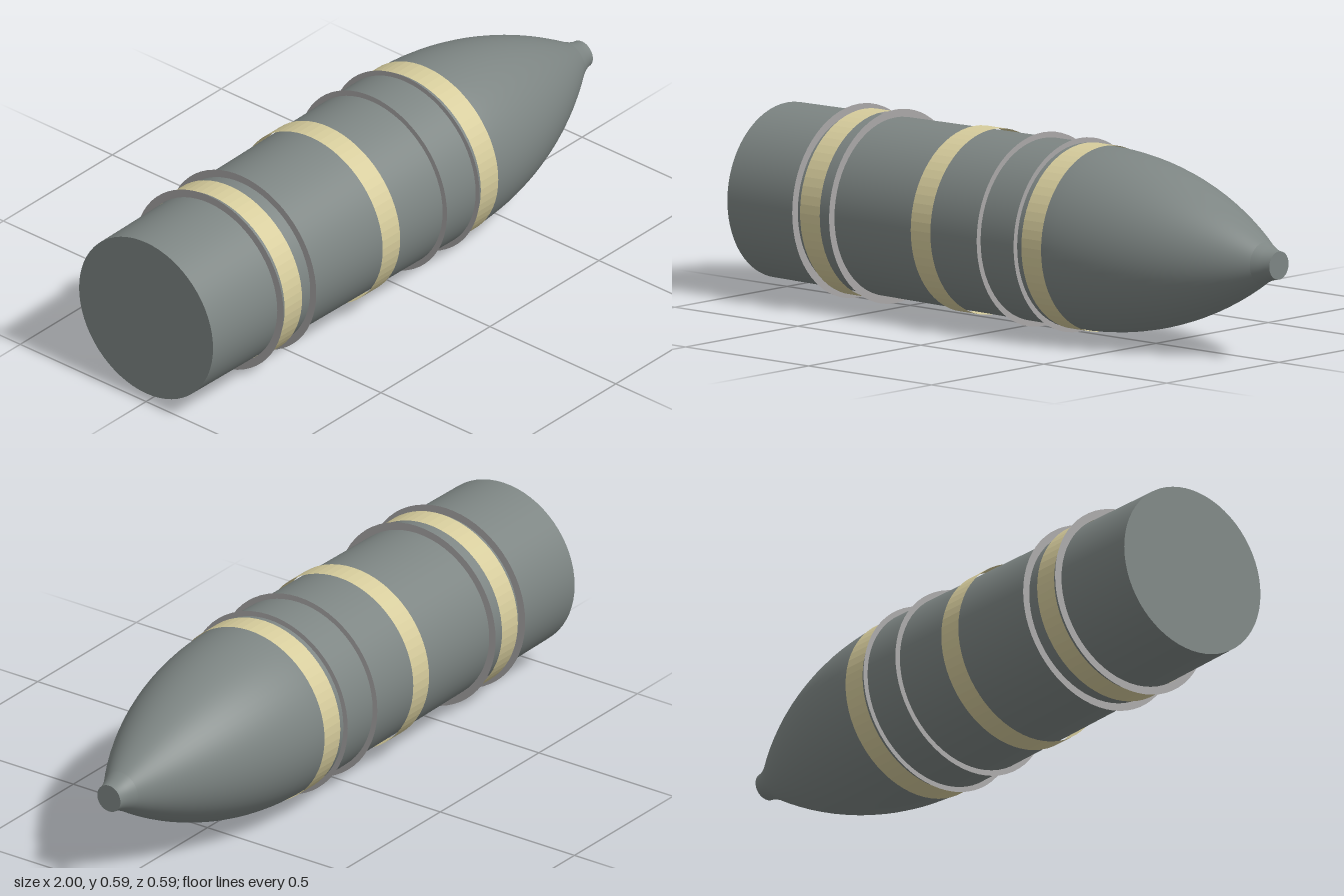
import * as THREE from 'three';

const AXIS_Y = 0.295;
const SEGMENTS = 64;

export function createModel() {
  const steel = new THREE.MeshStandardMaterial({ color: 0x7d8583 });
  steel.name = 'grey steel';
  const brass = new THREE.MeshStandardMaterial({ color: 0xd6cc9c, flatShading: true, side: THREE.DoubleSide });
  brass.name = 'pale band';
  const light = new THREE.MeshStandardMaterial({ color: 0xa9a7a7, side: THREE.DoubleSide });
  light.name = 'light grey ring';

  // Everything is modelled along +y, then laid down so the nose points to +x
  const shell = new THREE.Group();
  shell.name = 'shell';
  const add = (name, geometry, material, y = 0) => {
    const mesh = new THREE.Mesh(geometry, material);
    mesh.name = name;
    mesh.position.y = y;
    shell.add(mesh);
    return mesh;
  };
  const lathe = (points) =>
    new THREE.LatheGeometry(points.map(([r, y]) => new THREE.Vector2(r, y)), SEGMENTS);

  // Slightly tapered body running into the curved nose
  const profile = [[0.266, -1], [0.27, -0.65], [0.275, -0.2], [0.279, 0.2]];
  for (let i = 1; i <= 16; i++) {
    const t = i / 16;
    profile.push([0.28 - 0.216 * Math.pow(t, 2.08), 0.25 + 0.69 * t]);
  }
  add('body', lathe(profile), steel);
  add('baseCap', lathe([[0, -1], [0.266, -1]]), steel);

  // Small fuse at the tip
  add('noseTip', lathe([[0.064, 0.94], [0.052, 0.965], [0.045, 0.985], [0.043, 1]]), steel);
  add('noseTipCap', lathe([[0.043, 1], [0, 1]]), steel);

  // Three pale bands around the body
  for (const y of [-0.65, -0.2, 0.25]) {
    add('band', new THREE.CylinderGeometry(0.282, 0.282, 0.08, SEGMENTS, 1, true), brass, y);
  }

  // Four paper-thin flat rings
  for (const y of [-0.71, -0.56, 0.04, 0.19]) {
    add('flatRing', new THREE.RingGeometry(0.27, 0.295, SEGMENTS), light, y).rotation.x = -Math.PI / 2;
  }

  shell.rotation.z = -Math.PI / 2;
  shell.position.y = AXIS_Y;
  const model = new THREE.Group();
  model.name = 'artilleryShell';
  model.add(shell);
  return model;
}
